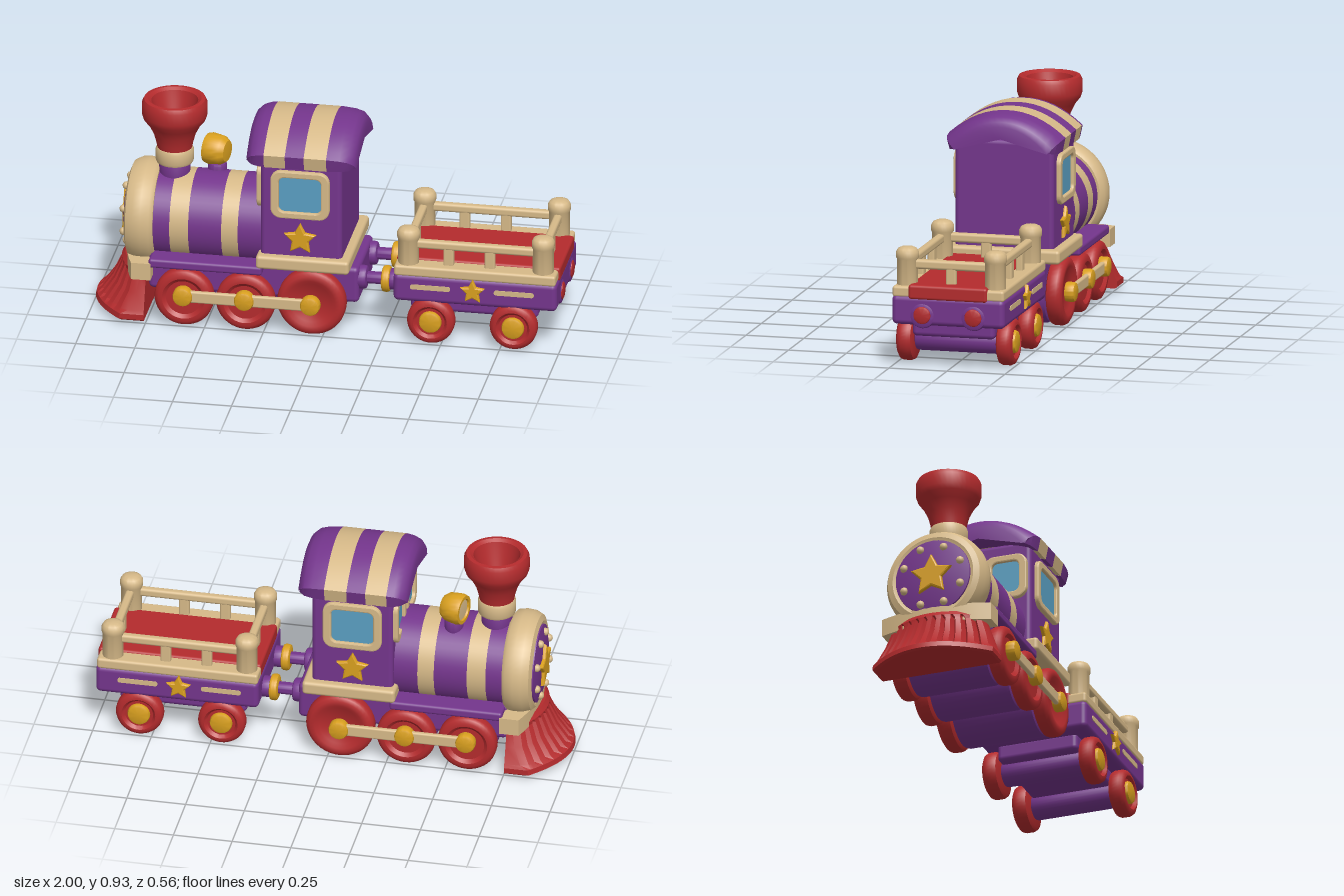
import * as THREE from 'three';
import { toCreasedNormals } from 'three/addons/utils/BufferGeometryUtils.js';
import { RoundedBoxGeometry } from 'three/addons/geometries/RoundedBoxGeometry.js';

const paint = (name, color) => {
  const m = new THREE.MeshStandardMaterial({ color });
  m.name = name;
  return m;
};

export function createModel() {
  const purple = paint('purple', 0x74358c), cream = paint('cream', 0xd6b988), red = paint('red', 0xb42b2d);
  const gold = paint('gold', 0xd9a01f), glass = paint('window blue', 0x5a9fc2);
  const model = new THREE.Group();
  model.name = 'toyTrain';

  const add = (parent, name, geo, mat, x = 0, y = 0, z = 0) => {
    const m = new THREE.Mesh(geo, mat);
    m.name = name;
    m.position.set(x, y, z);
    parent.add(m);
    return m;
  };
  const group = (parent, name, x = 0, y = 0, z = 0, yaw = 0) => {
    const g = new THREE.Group();
    g.name = name;
    g.position.set(x, y, z);
    g.rotation.y = yaw;
    parent.add(g);
    return g;
  };
  // Box given by its limits, with rounded edges
  const box = (parent, name, mat, x0, x1, y0, y1, z0, z1, r = 0.012) =>
    add(parent, name, new RoundedBoxGeometry(x1 - x0, y1 - y0, z1 - z0, 3, r), mat,
      (x0 + x1) / 2, (y0 + y1) / 2, (z0 + z1) / 2);
  // Turned part from [radius, height] pairs, listed bottom to top
  const turned = (pts, axis = 'y', seg = 40) => {
    const g = new THREE.LatheGeometry(pts.map(p => new THREE.Vector2(...p)), seg);
    if (axis === 'z') g.rotateX(Math.PI / 2);
    if (axis === '-x') g.rotateZ(Math.PI / 2);
    return toCreasedNormals(g, 0.7);
  };
  const puck = (r, h, b = 0.012) => [[0, -h / 2], [r - b, -h / 2], [r - b * 0.3, -h / 2 + b * 0.3], [r, -h / 2 + b],
    [r, h / 2 - b], [r - b * 0.3, h / 2 - b * 0.3], [r - b, h / 2], [0, h / 2]];
  // Skin over matching rings of points, closed at both ends
  const loft = (rings, crease) => {
    const n = rings[0].length, pos = rings.flat(2), idx = [];
    for (let k = 0; k < rings.length - 1; k++) for (let j = 0; j < n; j++) {
      const a = k * n + j, b = k * n + (j + 1) % n;
      idx.push(a, b, a + n, b, b + n, a + n);
    }
    [0, rings.length - 1].forEach((k, end) => {
      const c = pos.length / 3;
      for (let i = 0; i < 3; i++) pos.push(rings[k].reduce((s, p) => s + p[i], 0) / n);
      for (let j = 0; j < n; j++) {
        const a = k * n + j, b = k * n + (j + 1) % n;
        end ? idx.push(c, a, b) : idx.push(c, b, a);
      }
    });
    const g = new THREE.BufferGeometry();
    g.setAttribute('position', new THREE.Float32BufferAttribute(pos, 3));
    g.setIndex(idx);
    return toCreasedNormals(g, crease);
  };
  const star = r => {
    const s = new THREE.Shape();
    for (let i = 0; i < 10; i++) {
      const a = Math.PI / 2 + i * Math.PI / 5, q = i % 2 ? r * 0.52 : r;
      i ? s.lineTo(q * Math.cos(a), q * Math.sin(a)) : s.moveTo(q * Math.cos(a), q * Math.sin(a));
    }
    return new THREE.ExtrudeGeometry(s, { depth: 0.006, bevelSize: 0.008, bevelThickness: 0.01, bevelOffset: -0.008, bevelSegments: 2 });
  };
  const roundRect = (w, h, r, s = new THREE.Shape()) => {
    const x = w / 2, y = h / 2, q = Math.PI / 2;
    s.absarc(x - r, y - r, r, 0, q);
    s.absarc(r - x, y - r, r, q, 2 * q);
    s.absarc(r - x, r - y, r, 2 * q, 3 * q);
    s.absarc(x - r, r - y, r, 3 * q, 4 * q);
    s.closePath();
    return s;
  };
  const cabWindow = (parent, name, w, h, x, y, z, yaw) => {
    const g = group(parent, name, x, y, z, yaw), s = roundRect(w, h, 0.045);
    s.holes.push(roundRect(w - 0.07, h - 0.06, 0.025, new THREE.Path()));
    add(g, 'windowFrame', new THREE.ExtrudeGeometry(s, { depth: 0.015, bevelSize: 0.006, bevelThickness: 0.006, bevelOffset: -0.006, bevelSegments: 2 }), cream);
    add(g, 'windowPane', new THREE.ExtrudeGeometry(roundRect(w - 0.06, h - 0.05, 0.025), { depth: 0.007, bevelEnabled: false }), glass);
  };
  const wheel = (parent, name, R, x, s) => {
    const g = group(parent, name, x, R, s * 0.215, s > 0 ? 0 : Math.PI);
    add(g, 'wheelDisc', turned([[0, -0.035], [R - 0.02, -0.035], [R - 0.006, -0.029], [R, -0.016], [R, 0.014], [R - 0.006, 0.027],
      [R - 0.02, 0.035], [R * 0.72, 0.035], [R * 0.6, 0.022], [0, 0.022]], 'z'), red);
    return g;
  };
  const SIDES = [1, -1];

  const engine = group(model, 'engine');
  // Boiler with painted bands
  const BY = 0.41;
  const cuts = [-0.8, -0.66, -0.58, -0.44, -0.37, -0.25];
  cuts.slice(1).forEach((x, i) => add(engine, 'boilerBand',
    new THREE.CylinderGeometry(0.19, 0.19, x - cuts[i], 48).rotateZ(Math.PI / 2), i % 2 ? cream : purple, (x + cuts[i]) / 2, BY));
  add(engine, 'boilerFrontRing', turned([[0, 0.73], [0.2, 0.73], [0.217, 0.745], [0.223, 0.78], [0.22, 0.815],
    [0.205, 0.845], [0.18, 0.855], [0.165, 0.85], [0, 0.845]], '-x', 48), cream, 0, BY);
  add(engine, 'boilerDoor', turned([[0.168, 0.84], [0.165, 0.857], [0.12, 0.867], [0, 0.872]], '-x'), purple, 0, BY);
  add(engine, 'doorStar', star(0.095), gold, -0.868, BY, 0).rotation.y = -Math.PI / 2;
  for (let i = 0; i < 8; i++) {
    const a = (i + 0.5) * Math.PI / 4;
    add(engine, 'doorStud', new THREE.SphereGeometry(0.017, 12, 8), cream, -0.865, BY + 0.135 * Math.sin(a), 0.135 * Math.cos(a));
  }

  // Chimney
  const chimney = group(engine, 'chimney', -0.67, 0, 0);
  add(chimney, 'chimneyFoot', turned(puck(0.065, 0.1)), purple, 0, 0.6);
  add(chimney, 'chimneyCollar', turned(puck(0.08, 0.075, 0.015)), cream, 0, 0.675);
  add(chimney, 'chimneyFunnel', turned([[0, 0.7], [0.072, 0.7], [0.077, 0.73], [0.088, 0.77], [0.108, 0.81], [0.13, 0.838],
    [0.137, 0.86], [0.137, 0.91], [0.128, 0.928], [0.112, 0.93], [0.098, 0.92], [0.088, 0.88], [0.07, 0.82], [0, 0.81]]), red);

  // Headlamp, turned a little to one side
  add(engine, 'lampFoot', turned(puck(0.04, 0.07)), purple, -0.5, 0.59, -0.06);
  const lamp = group(engine, 'headlamp', -0.5, 0.677, -0.065, -0.25);
  add(lamp, 'lampBody', turned([[0, -0.05], [0.045, -0.045], [0.06, -0.025], [0.064, 0], [0.067, 0.03], [0.062, 0.048], [0.048, 0.048], [0.044, 0.035], [0, 0.035]], '-x'), gold);
  add(lamp, 'lampLens', turned([[0.046, 0.03], [0.046, 0.04], [0, 0.043]], '-x'), cream);

  // Cab
  box(engine, 'cab', purple, -0.27, 0.075, 0.3, 0.8, -0.213, 0.213, 0.02);
  box(engine, 'cabSill', cream, -0.285, 0.11, 0.285, 0.345, -0.248, 0.248, 0.015);
  SIDES.forEach(s => {
    cabWindow(engine, 'sideWindow', 0.25, 0.215, -0.1, 0.627, s * 0.211, s > 0 ? 0 : Math.PI);
    cabWindow(engine, 'frontWindow', 0.19, 0.2, -0.268, 0.64, s * 0.105, -Math.PI / 2);
    add(engine, 'cabStar', star(0.072), gold, -0.1, 0.425, s * 0.212).rotation.y = s > 0 ? 0 : Math.PI;
  });

  // Arched roof in stripes; d shrinks the section toward rounded ends
  const roofRing = ([x, d]) => {
    const top = [], low = [], w = 0.25 - d;
    for (let i = 0; i <= 16; i++) {
      const t = i / 8 - 1;
      top.push([x, 0.915 - d - 0.105 * Math.abs(t) ** 2.1, w * t]);
      low.push([x, 0.805 + d * 0.3 - 0.053 * t * t, -(w - 0.012) * t]);
    }
    return [...top, ...low];
  };
  [[[-0.332, 0.05], [-0.325, 0.03], [-0.305, 0.012], [-0.28, 0.004], [-0.25, 0]], [[-0.25, 0], [-0.16, 0]], [[-0.16, 0], [-0.08, 0]],
    [[-0.08, 0], [0.015, 0]], [[0.015, 0], [0.07, 0.004], [0.105, 0.012], [0.127, 0.03], [0.135, 0.05]]]
    .forEach((p, i) => add(engine, 'roofStripe', loft(p.map(roofRing), 0.8), i % 2 ? cream : purple));

  // Chassis
  box(engine, 'chassis', purple, -0.75, 0.14, 0.13, 0.29, -0.178, 0.178, 0.02);
  box(engine, 'runningBoard', purple, -0.74, -0.26, 0.25, 0.29, -0.24, 0.24);
  const bumper = y => {
    const r = [];
    for (let i = 0; i <= 12; i++) {
      const t = i / 6 - 1;
      r.push([-0.862 + 0.05 * t * t, y, 0.243 * t]);
    }
    return [...r, [-0.73, y, 0.243], [-0.73, y, -0.243]];
  };
  add(engine, 'frontBumper', loft([bumper(0.195), bumper(0.27)], 0.6), cream);

  // Ribbed cowcatcher: [y, front x, depth of curve, half width]
  const catcherRing = ([y, xf, depth, W]) => {
    const r = [];
    for (let i = 0; i <= 44; i++) {
      const t = i / 22 - 1, groove = i % 4 === 0 && y > 0.05 && y < 0.21 ? 0.022 : 0;
      r.push([xf + depth * t * t + groove, y, W * t]);
    }
    return [...r, [-0.755, y, W], [-0.755, y, -W]];
  };
  add(engine, 'cowcatcher', loft([[0.015, -0.99, 0.14, 0.26], [0.022, -1, 0.14, 0.268], [0.045, -0.995, 0.14, 0.268], [0.06, -0.975, 0.13, 0.26],
    [0.13, -0.925, 0.11, 0.235], [0.2, -0.892, 0.09, 0.21], [0.215, -0.89, 0.085, 0.21], [0.235, -0.875, 0.08, 0.2]].map(catcherRing), 0.4), red);

  // Driving wheels, axle drums and side rods
  [[-0.59, 0.125], [-0.33, 0.125], [-0.05, 0.145]].forEach(([x, R]) => {
    add(engine, 'axleDrum', turned(puck(R - 0.008, 0.36, 0.02), 'z'), purple, x, R, 0);
    SIDES.forEach(s => {
      wheel(engine, 'drivingWheel', R, x, s);
      add(engine, 'rodPin', turned(puck(0.042, 0.05), 'z'), gold, x, 0.142, s * 0.255);
    });
  });
  SIDES.forEach(s => box(engine, 'sideRod', cream, -0.61, -0.03, 0.116, 0.168, s * 0.257 - 0.011, s * 0.257 + 0.011, 0.008));

  // Couplings
  SIDES.forEach(s => {
    const c = group(model, 'coupling', 0, 0.23, s * 0.122);
    add(c, 'couplingBase', turned(puck(0.05, 0.06), '-x', 24), purple, 0.14);
    add(c, 'couplingRod', turned(puck(0.026, 0.2, 0.005), '-x', 24), purple, 0.22);
    add(c, 'couplingRing', turned(puck(0.056, 0.036), '-x', 28), gold, 0.25);
    add(c, 'couplingSocket', turned(puck(0.045, 0.06), '-x', 24), purple, 0.285);
  });

  // Wagon
  const wagon = group(model, 'wagon');
  box(wagon, 'wagonBody', purple, 0.297, 0.99, 0.185, 0.31, -0.243, 0.243, 0.022);
  box(wagon, 'wagonUnderframe', purple, 0.36, 0.9, 0.12, 0.2, -0.178, 0.178, 0.02);
  box(wagon, 'wagonFloor', red, 0.3, 0.993, 0.295, 0.357, -0.17, 0.17);
  SIDES.forEach(s => {
    const back = s > 0 ? 0 : Math.PI;
    box(wagon, 'sideRim', cream, 0.3, 0.985, 0.3, 0.348, s * 0.199 - 0.042, s * 0.199 + 0.042);
    box(wagon, 'sideRail', cream, 0.35, 0.925, 0.415, 0.453, s * 0.19 - 0.017, s * 0.19 + 0.017);
    [0.525, 0.7].forEach(x => box(wagon, 'baluster', cream, x - 0.022, x + 0.022, 0.33, 0.43, s * 0.19 - 0.015, s * 0.19 + 0.015, 0.008));
    add(wagon, 'wagonStar', star(0.055), gold, 0.635, 0.255, s * 0.241).rotation.y = back;
    [0.455, 0.81].forEach(x => add(wagon, 'paintedDash', new THREE.ExtrudeGeometry(roundRect(0.17, 0.022, 0.01), { depth: 0.006, bevelEnabled: false }),
      cream, x, 0.257, s * 0.24).rotation.y = back);
    add(wagon, 'bufferBoss', turned(puck(0.055, 0.05), '-x', 28), purple, 0.968, 0.228, s * 0.11);
    add(wagon, 'buffer', turned(puck(0.039, 0.06), '-x', 28), red, 0.97, 0.23, s * 0.11);
    [0.455, 0.805].forEach(x => {
      const w = wheel(wagon, 'wagonWheel', 0.1, x, s);
      add(w, 'wheelHub', turned(puck(0.048, 0.04), 'z', 28), gold, 0, 0, 0.02);
    });
  });
  [0.455, 0.805].forEach(x => add(wagon, 'wagonAxle', turned(puck(0.055, 0.36), 'z', 28), purple, x, 0.1, 0));
  [0.355, 0.925].forEach(x => {
    box(wagon, 'endRail', cream, x - 0.017, x + 0.017, 0.415, 0.455, -0.19, 0.19);
    box(wagon, 'endBaluster', cream, x - 0.015, x + 0.015, 0.33, 0.43, -0.022, 0.022, 0.008);
    SIDES.forEach(s => add(wagon, 'cornerPost', turned([[0, 0.3], [0.044, 0.3], [0.044, 0.455], [0.048, 0.462], [0.048, 0.485], [0.04, 0.499], [0.025, 0.506], [0, 0.508]], 'y', 28),
      cream, x, 0, s * 0.19));
  });
  return model;
}
